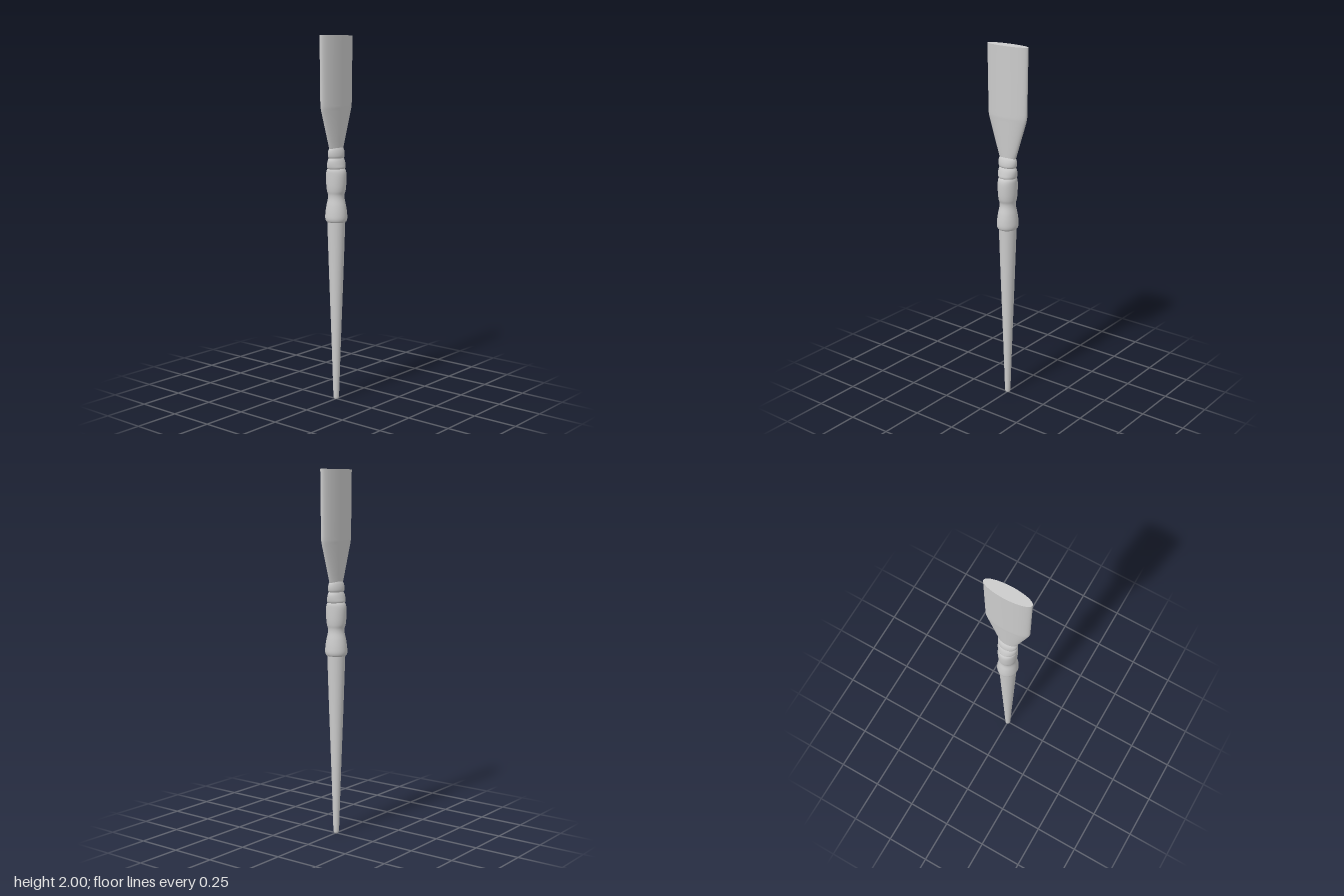
import * as THREE from 'three';

const SIDES = 64;
const material = new THREE.MeshStandardMaterial({ color: 0xcccccc });

// Lofts elliptical sections [y, half width in x, half depth in z], with flat end caps.
function loft(name, sections, smoothSteps = 0) {
  let rings = sections.map((s) => new THREE.Vector3(...s));
  if (smoothSteps) rings = new THREE.CatmullRomCurve3(rings).getPoints(smoothSteps);
  const positions = [];
  const index = [];
  const addRing = (r) => {
    const start = positions.length / 3;
    for (let i = 0; i < SIDES; i++) {
      const a = (i / SIDES) * Math.PI * 2;
      positions.push(Math.cos(a) * r.y, r.x, Math.sin(a) * r.z);
    }
    return start;
  };
  rings.forEach(addRing);
  for (let j = 0; j < rings.length - 1; j++) {
    for (let i = 0; i < SIDES; i++) {
      const k = (i + 1) % SIDES;
      const a = j * SIDES + i, b = j * SIDES + k;
      index.push(a, a + SIDES, b, b, a + SIDES, b + SIDES);
    }
  }
  // Caps use their own vertices so their rims stay sharp
  [rings[0], rings[rings.length - 1]].forEach((r, top) => {
    const start = addRing(r);
    const centre = positions.length / 3;
    positions.push(0, r.x, 0);
    for (let i = 0; i < SIDES; i++) {
      const a = start + i, b = start + ((i + 1) % SIDES);
      if (top) index.push(centre, b, a);
      else index.push(centre, a, b);
    }
  });
  const geometry = new THREE.BufferGeometry();
  geometry.setAttribute('position', new THREE.Float32BufferAttribute(positions, 3));
  geometry.setIndex(index);
  geometry.computeVertexNormals();
  const mesh = new THREE.Mesh(geometry, material);
  mesh.name = name;
  return mesh;
}

export function createModel() {
  const model = new THREE.Group();
  model.name = 'flatBladedTool';

  // Long tapering stem with a rounded tip
  model.add(loft('stem', [
    [0, 0.009, 0.009], [0.003, 0.013, 0.013], [0.012, 0.015, 0.016], [0.04, 0.016, 0.017],
    [0.35, 0.026, 0.027], [0.7, 0.038, 0.04], [1.005, 0.048, 0.05],
  ]));

  // Turned grip: bulge, waist and barrel
  model.add(loft('grip', [
    [1.0, 0.047, 0.05], [1.006, 0.053, 0.058], [1.02, 0.057, 0.062], [1.05, 0.056, 0.061],
    [1.09, 0.051, 0.055], [1.13, 0.044, 0.046], [1.15, 0.044, 0.046], [1.17, 0.048, 0.052],
    [1.2, 0.051, 0.056], [1.26, 0.052, 0.057], [1.28, 0.051, 0.053], [1.293, 0.047, 0.046],
  ], 72));

  // Two rounded collars, flattening toward the blade
  model.add(loft('lowerCollar', [
    [1.288, 0.046, 0.043], [1.297, 0.052, 0.049], [1.315, 0.055, 0.046],
    [1.335, 0.054, 0.04], [1.352, 0.047, 0.032],
  ], 24));
  model.add(loft('upperCollar', [
    [1.346, 0.046, 0.032], [1.356, 0.053, 0.037], [1.375, 0.056, 0.036],
    [1.393, 0.054, 0.031], [1.405, 0.048, 0.025],
  ], 24));

  // Shoulder flaring into the wide flat blade
  model.add(loft('blade', [
    [1.398, 0.05, 0.024], [1.41, 0.055, 0.025], [1.44, 0.065, 0.026], [1.6, 0.117, 0.033],
    [1.615, 0.121, 0.034], [1.63, 0.124, 0.035], [1.65, 0.125, 0.034], [2.0, 0.13, 0.035],
  ]));

  return model;
}
